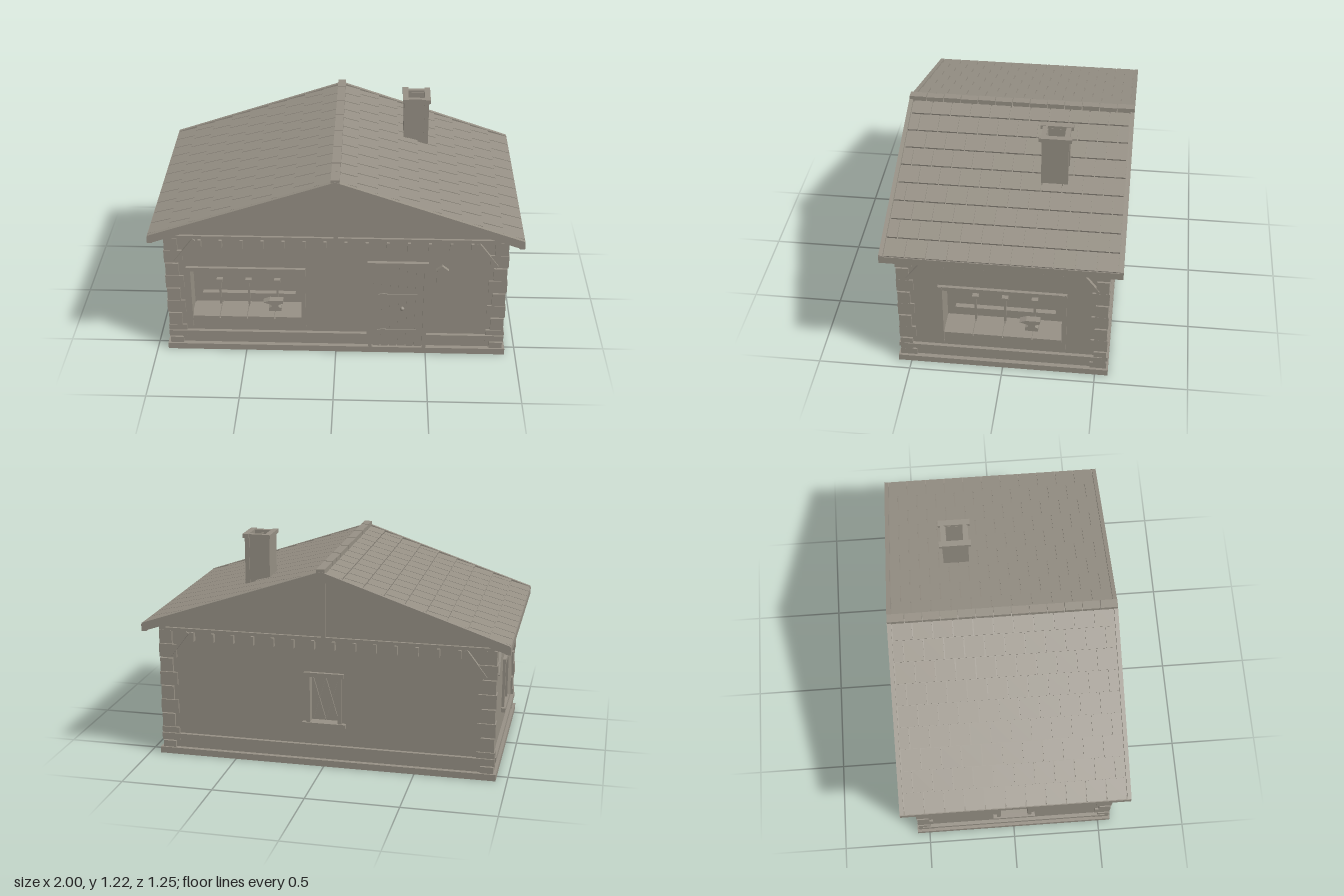
import * as THREE from 'three';

const stone = new THREE.MeshStandardMaterial({ color: 0x958f84 });
stone.name = 'warm grey stone';

const HX = 0.915, HZ = 0.545, T = 0.15; // wall half sizes and thickness
const PITCH = Math.atan(0.34);

function add(parent, name, geo, x = 0, y = 0, z = 0) {
  const m = new THREE.Mesh(geo, stone);
  m.name = name;
  m.position.set(x, y, z);
  parent.add(m);
  return m;
}
const box = (p, name, w, h, d, x, y, z) => add(p, name, new THREE.BoxGeometry(w, h, d), x, y, z);
// Box given by its limits
const span = (p, name, x0, x1, y0, y1, z0, z1) =>
  box(p, name, x1 - x0, y1 - y0, z1 - z0, (x0 + x1) / 2, (y0 + y1) / 2, (z0 + z1) / 2);
function group(parent, name) {
  const g = new THREE.Group();
  g.name = name;
  parent.add(g);
  return g;
}
function extrude(points, depth, hole) {
  const s = new THREE.Shape(points.map(p => new THREE.Vector2(...p)));
  if (hole) {
    const [x0, x1, y0, y1] = hole;
    s.holes.push(new THREE.Path([[x0, y0], [x0, y1], [x1, y1], [x1, y0]].map(p => new THREE.Vector2(...p))));
  }
  return new THREE.ExtrudeGeometry(s, { depth, bevelEnabled: false });
}

// Wall facing local +z, with its outer face at z = 0
function wall(parent, name, angle, gable, hole, belts) {
  const g = group(parent, name);
  g.rotation.y = angle;
  const half = gable ? HX : HZ, inner = gable ? HX : HZ - T;
  const w = group(g, name + 'Face');
  w.position.z = gable ? HZ : HX;
  const pts = gable
    ? [[-HX, 0.03], [HX, 0.03], [HX, 0.76], [0, 1.072], [-HX, 0.76]]
    : [[-inner, 0.03], [inner, 0.03], [inner, 0.76], [-inner, 0.76]];
  add(w, 'wall', extrude(pts, T, hole), 0, 0, -T);
  // Belt rail, corbels and top beam
  for (const [a, b] of belts) span(w, 'beltRail', a, b, 0.093, 0.12, 0, 0.02);
  span(w, 'topBeam', -half, half, 0.715, 0.735, 0, 0.014);
  const n = gable ? 14 : 7, reach = gable ? 0.73 : 0.31;
  for (let i = 0; i < n; i++) {
    box(w, 'corbel', 0.016, 0.05, 0.03, -reach + (2 * reach * i) / (n - 1), 0.692, 0.013);
  }
  // Corner braces
  for (const s of [-1, 1]) {
    const brace = box(w, 'cornerBrace', 0.018, 0.18, 0.02, s * (half - 0.1), 0.643, 0.01);
    brace.rotation.z = s * 0.65;
  }
  if (gable) {
    span(w, 'kingPost', -0.012, 0.012, 0.735, 1.07, 0, 0.015);
    // Rafters against the gable
    for (const s of [-1, 1]) {
      const r = box(w, 'gableRafter', 0.97, 0.022, 0.016, s * 0.46, 0.895, 0.008);
      r.rotation.z = -s * PITCH;
    }
  }
  return w;
}

// Open workshop bay: frame, counter, tool rail, hammers and anvil
function workshop(parent, cx, half) {
  const g = group(parent, 'workshopBay');
  g.position.x = cx;
  const h = half - 0.022;
  for (const s of [-1, 1]) box(g, 'bayPost', 0.024, 0.385, 0.035, s * (half - 0.012), 0.342, 0.002);
  span(g, 'bayLintel', -half, half, 0.512, 0.535, -0.02, 0.018);
  span(g, 'curtainBar', -h, h, 0.497, 0.508, -0.025, -0.012);
  span(g, 'counterApron', -h, h, 0.162, 0.2, -0.01, 0.008);
  for (let i = 0; i < 4; i++) {
    const w = (2 * h) / 4, x = -h + w * (i + 0.5);
    box(g, 'counterPlank', w - 0.006, 0.018, T, x, 0.208, -T / 2 + 0.012);
  }
  span(g, 'toolRail', -half * 0.8, half * 0.8, 0.274, 0.284, -T, -T + 0.03);
  for (const x of [-0.16, 0, 0.16]) {
    span(g, 'hammerHandle', x - 0.006, x + 0.006, 0.2, 0.37, -T + 0.03, -T + 0.042);
    span(g, 'hammerHead', x - 0.017, x + 0.017, 0.367, 0.384, -T + 0.022, -T + 0.05);
  }
  const profile = [[-0.035, 0], [0.035, 0], [0.035, 0.022], [0.018, 0.03], [0.018, 0.042],
    [0.045, 0.052], [0.045, 0.07], [-0.03, 0.07], [-0.065, 0.058], [-0.02, 0.042], [-0.018, 0.03], [-0.035, 0.022]];
  add(g, 'anvil', extrude(profile, 0.04), 0.15, 0.216, -0.085);
}

// Small lattice window
function latticeWindow(parent) {
  const g = group(parent, 'latticeWindow');
  g.position.y = 0.38;
  box(g, 'pane', 0.17, 0.27, 0.008, 0, 0, -0.04);
  for (const s of [-1, 1]) {
    box(g, 'windowJamb', 0.022, 0.29, 0.05, s * 0.088, 0, -0.01);
    for (const o of [-0.035, 0.035]) {
      box(g, 'latticeBar', 0.007, 0.262, 0.008, o, 0, -0.029 + s * 0.003).rotation.z = s * 0.28;
    }
  }
  box(g, 'windowHead', 0.22, 0.024, 0.052, 0, 0.142, -0.008);
  box(g, 'windowSill', 0.24, 0.024, 0.06, 0, -0.142, -0.006);
}

// Plank door with strap hinges and knob
function door(parent) {
  const g = group(parent, 'door');
  for (const x of [0.19, 0.49]) box(g, 'doorPost', 0.022, 0.53, 0.034, x, 0.3, 0.004);
  span(g, 'doorLintel', 0.172, 0.502, 0.56, 0.588, -0.01, 0.022);
  const w = 0.278 / 6;
  for (let i = 0; i < 6; i++) box(g, 'doorPlank', w - 0.006, 0.525, 0.016, 0.201 + w * (i + 0.5), 0.298, 0.002);
  const strap = [[0, -0.006], [0.03, -0.013], [0.06, -0.008], [0.215, -0.012], [0.215, 0.012], [0.06, 0.008], [0.03, 0.013], [0, 0.006]];
  for (const y of [0.14, 0.375]) add(g, 'strapHinge', extrude(strap, 0.006), 0.23, y, 0.01);
  add(g, 'doorKnob', new THREE.SphereGeometry(0.012, 12, 8), 0.365, 0.29, 0.014);
}

// One roof slope, falling towards +x
function roofSlope(parent, angle) {
  const side = group(parent, 'roofSide');
  side.rotation.y = angle;
  const s = group(side, 'roofSlope');
  s.position.y = 1.105;
  s.rotation.z = -PITCH;
  const L = 1.052, rows = 9, step = L / rows;
  span(s, 'roofDeck', 0, L, -0.035, -0.008, -0.605, 0.605);
  for (const k of [-1, 1]) box(s, 'bargeBoard', L, 0.046, 0.022, L / 2, -0.017, k * 0.614);
  // Staggered shingles
  for (let r = 0; r < rows; r++) {
    const w = 0.109;
    const shift = r % 2 ? w / 2 : 0;
    for (let i = -1; i < 11; i++) {
      const a = Math.max(-0.6, -0.6 + i * w + shift + 0.003);
      const b = Math.min(0.6, -0.6 + (i + 1) * w + shift - 0.003);
      if (b - a < 0.01) continue;
      const t = box(s, 'shingle', step - 0.002, 0.01, b - a, step * (r + 0.5), -0.003, (a + b) / 2);
      t.rotation.z = 0.06;
    }
  }
  span(side, 'eaveFascia', 0.972, 1, 0.727, 0.766, -0.625, 0.625);
}

export function createModel() {
  const model = new THREE.Group();
  model.name = 'workshopHouse';
  span(model, 'foundation', -0.94, 0.94, 0, 0.036, -0.57, 0.57);
  span(model, 'houseCore', -HX + T, HX - T, 0.03, 0.74, -HZ + T, HZ - T);

  // Four walls
  const front = wall(model, 'frontWall', 0, true, [-0.8, -0.18, 0.2, 0.52], [[-0.93, 0.172], [0.502, 0.93]]);
  workshop(front, -0.49, 0.325);
  door(front);
  const left = wall(model, 'workshopSideWall', Math.PI / 2, false, [-0.32, 0.32, 0.2, 0.52], [[-0.535, 0.535]]);
  workshop(left, 0, 0.34);
  const pane = [-0.08, 0.08, 0.25, 0.51];
  latticeWindow(wall(model, 'backWall', Math.PI, true, pane, [[-0.93, 0.93]]));
  latticeWindow(wall(model, 'windowSideWall', -Math.PI / 2, false, pane, [[-0.535, 0.535]]));

  // Wall lantern
  box(front, 'lantern', 0.055, 0.085, 0.02, 0.575, 0.503, 0.01);
  add(front, 'lanternCap', extrude([[-0.035, 0], [0.035, 0], [0, 0.028]], 0.022), 0.575, 0.545, 0);

  // Corner stones with alternating lengths
  for (const sx of [-1, 1]) for (const sz of [-1, 1]) for (let i = 0; i < 9; i++) {
    const long = i % 2, top = 0.72 - i * 0.081, h = i === 8 ? 0.036 : 0.076;
    const lx = long ? 0.1 : 0.072, lz = long ? 0.066 : 0.09;
    const ox = long ? 0.93 : 0.925, oz = long ? 0.556 : 0.56;
    box(model, 'cornerStone', lx, h, lz, sx * (ox - lx / 2), top - h / 2, sz * (oz - lz / 2));
  }

  // Roof and ridge caps
  roofSlope(model, 0);
  roofSlope(model, Math.PI);
  const caps = 13, cw = 1.25 / caps;
  for (let i = 0; i < caps; i++) {
    box(model, 'ridgeCap', 0.046, 0.034, cw - 0.004, 0, 1.107 - (i % 2) * 0.002, -0.625 + cw * (i + 0.5));
  }

  // Hollow chimney with a ring of cap stones
  const chimney = group(model, 'chimney');
  chimney.position.set(0.433, 0, -0.23);
  for (const s of [-1, 1]) {
    box(chimney, 'chimneySide', 0.025, 0.32, 0.142, s * 0.0575, 1.045, 0);
    box(chimney, 'chimneyEnd', 0.092, 0.32, 0.02, 0, 1.045, s * 0.056);
    box(chimney, 'capSide', 0.032, 0.022, 0.174, s * 0.062, 1.21, 0);
    box(chimney, 'capEnd', 0.094, 0.02, 0.026, 0, 1.209, s * 0.062);
  }
  return model;
}
